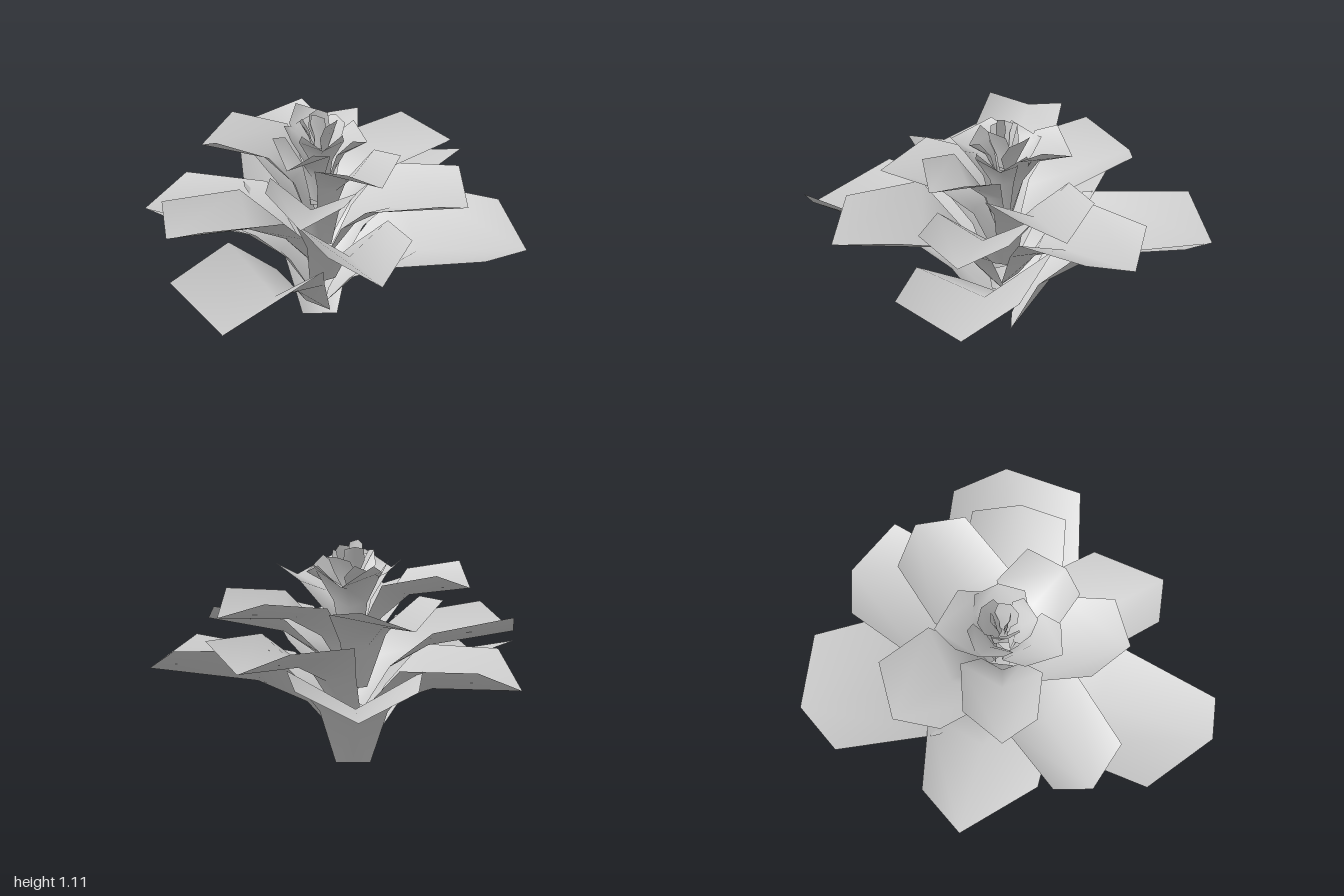
import * as THREE from 'three';

const AXIS = new THREE.Vector2(-0.085, 0.02);   // rosette axis in x, z
const GOLDEN = THREE.MathUtils.degToRad(137.5);

// Open leaves from the lowest up: left corner x z, tip x y z, right corner x z, twist of the middle
const openLeaves = [
  [-0.39, -0.89, -0.09, 0.42, -1.0, 0.22, -0.86, 0],
  [-0.89, 0.57, -0.67, 0.36, 0.95, -0.51, 1.0, 0.02],
  [0.67, 0.58, 0.91, 0.42, 0.26, 0.8, -0.03, 0.08],
  [-0.69, -0.52, -0.91, 0.44, -0.38, -0.8, 0.04, 0],
  [-0.13, 0.8, 0.13, 0.55, 0.88, 0.31, 0.57, -0.06],
  [0.65, -0.36, 0.5, 0.58, -0.61, 0.24, -0.67, 0],
  [-0.88, 0.1, -0.88, 0.59, 0.3, -0.72, 0.48, 0],
  [0.46, 0.46, 0.62, 0.67, 0.27, 0.6, 0.02, 0.02],
  [-0.11, -0.61, -0.38, 0.79, -0.6, -0.52, -0.39, 0.02],
  [-0.4, 0.4, -0.25, 0.76, 0.63, -0.03, 0.6, 0],
  [0.54, -0.03, 0.59, 0.79, -0.27, 0.36, -0.41, 0],
  [-0.49, -0.27, -0.66, 0.9, -0.11, -0.61, 0.08, 0],
  [0.0, 0.43, 0.18, 0.86, 0.4, 0.29, 0.23, 0],
  [0.12, -0.16, -0.02, 0.95, -0.31, -0.18, -0.24, 0],
  [-0.33, 0.08, -0.28, 0.92, 0.28, -0.15, 0.3, 0],
];

// Cupped leaf: four rows of left edge, midrib, right edge, from narrow foot to pointed end.
// rises: height of the two inner rows; midLift, endLift: edges above the midrib
function leafGeometry({ left, tip, right, tipY, baseY, footRadius, footWidth, rises, midLift, endLift, twist }) {
  const side = right.clone().sub(left).multiplyScalar(0.5);
  const middle = left.clone().add(right).multiplyScalar(0.5);
  const out = tip.clone().sub(AXIS).normalize();
  const foot = AXIS.clone().addScaledVector(out, footRadius);
  const positions = [];
  const row = (ribAt, rise, edgeAt, lift, halfSide, turn) => {
    const rib = foot.clone().lerp(tip, ribAt);
    const edge = foot.clone().lerp(middle, edgeAt);
    const y = baseY + (tipY - baseY) * rise;
    positions.push(edge.x - halfSide.x, y + lift - turn, edge.y - halfSide.y);
    positions.push(rib.x, y, rib.y);
    positions.push(edge.x + halfSide.x, y + lift + turn, edge.y + halfSide.y);
  };
  row(0, 0, 0, 0, side.clone().setLength(footWidth), 0);
  row(0.2, rises[0], 0.16, midLift * 0.3, side.clone().multiplyScalar(0.55), twist * 0.4);
  row(0.45, rises[1], 0.4, midLift, side.clone().multiplyScalar(1.1), twist);
  row(1, 1, 1, endLift, side, twist * 0.3);

  const index = [];
  for (let r = 0; r < 3; r++) {
    for (let c = 0; c < 2; c++) {
      const a = r * 3 + c, b = a + 1, d = a + 3, e = a + 4;
      // Diagonals mirror about the midrib
      if (c === 0) index.push(a, d, e, a, e, b);
      else index.push(a, d, b, b, d, e);
    }
  }
  const geometry = new THREE.BufferGeometry();
  geometry.setAttribute('position', new THREE.Float32BufferAttribute(positions, 3));
  geometry.setIndex(index);
  geometry.computeVertexNormals();
  return geometry;
}

export function createModel() {
  const group = new THREE.Group();
  group.name = 'succulentRosette';
  const material = new THREE.MeshStandardMaterial({ color: 0xcccccc, side: THREE.DoubleSide });
  const addLeaf = (name, options) => {
    const mesh = new THREE.Mesh(leafGeometry(options), material);
    mesh.name = name;
    group.add(mesh);
  };
  // Corners of a symmetric leaf whose turn follows the golden angle
  const turned = (i, reach, shoulderReach, half) => {
    const angle = Math.PI + i * GOLDEN;
    const out = new THREE.Vector2(Math.sin(angle), Math.cos(angle));
    const across = new THREE.Vector2(-out.y, out.x);
    const shoulder = AXIS.clone().addScaledVector(out, shoulderReach);
    return {
      left: shoulder.clone().addScaledVector(across, -half),
      tip: AXIS.clone().addScaledVector(out, reach),
      right: shoulder.clone().addScaledVector(across, half),
    };
  };

  // Open leaves spreading from the stem
  openLeaves.forEach(([lx, lz, tx, ty, tz, rx, rz, twist], i) => {
    addLeaf('openLeaf', {
      left: new THREE.Vector2(lx, lz), tip: new THREE.Vector2(tx, tz), right: new THREE.Vector2(rx, rz),
      tipY: ty, baseY: i ? 0.03 + i * 0.043 : 0, footRadius: 0.03, footWidth: 0.085 * (1 - i * 0.03),
      rises: [0.57, 0.88], midLift: 0.12 - i * 0.003 + Math.max(0, 0.05 - i * 0.007),
      endLift: 0.13 - i * 0.003, twist,
    });
  });

  // Small leaves around the bud
  for (let k = 0; k < 3; k++) {
    const i = openLeaves.length + k;
    addLeaf('innerLeaf', {
      ...turned(i, 0.23 - k * 0.026, 0.16 - k * 0.018, 0.125 - k * 0.012),
      tipY: 0.95 + k * 0.015, baseY: i * 0.043, footRadius: 0.03, footWidth: 0.04,
      rises: [0.5, 0.8], midLift: 0.05, endLift: 0.06, twist: 0,
    });
  }

  // Steep leaves closing the bud
  for (let k = 0; k < 5; k++) {
    const i = openLeaves.length + 3 + k;
    addLeaf('budLeaf', {
      ...turned(i, 0.125 - k * 0.02, 0.1 - k * 0.018, 0.075 - k * 0.009),
      tipY: 1.05 + k * 0.015, baseY: 0.8 + k * 0.03, footRadius: 0.02, footWidth: 0.025,
      rises: [0.3, 0.62], midLift: 0, endLift: -0.015, twist: 0,
    });
  }
  return group;
}
